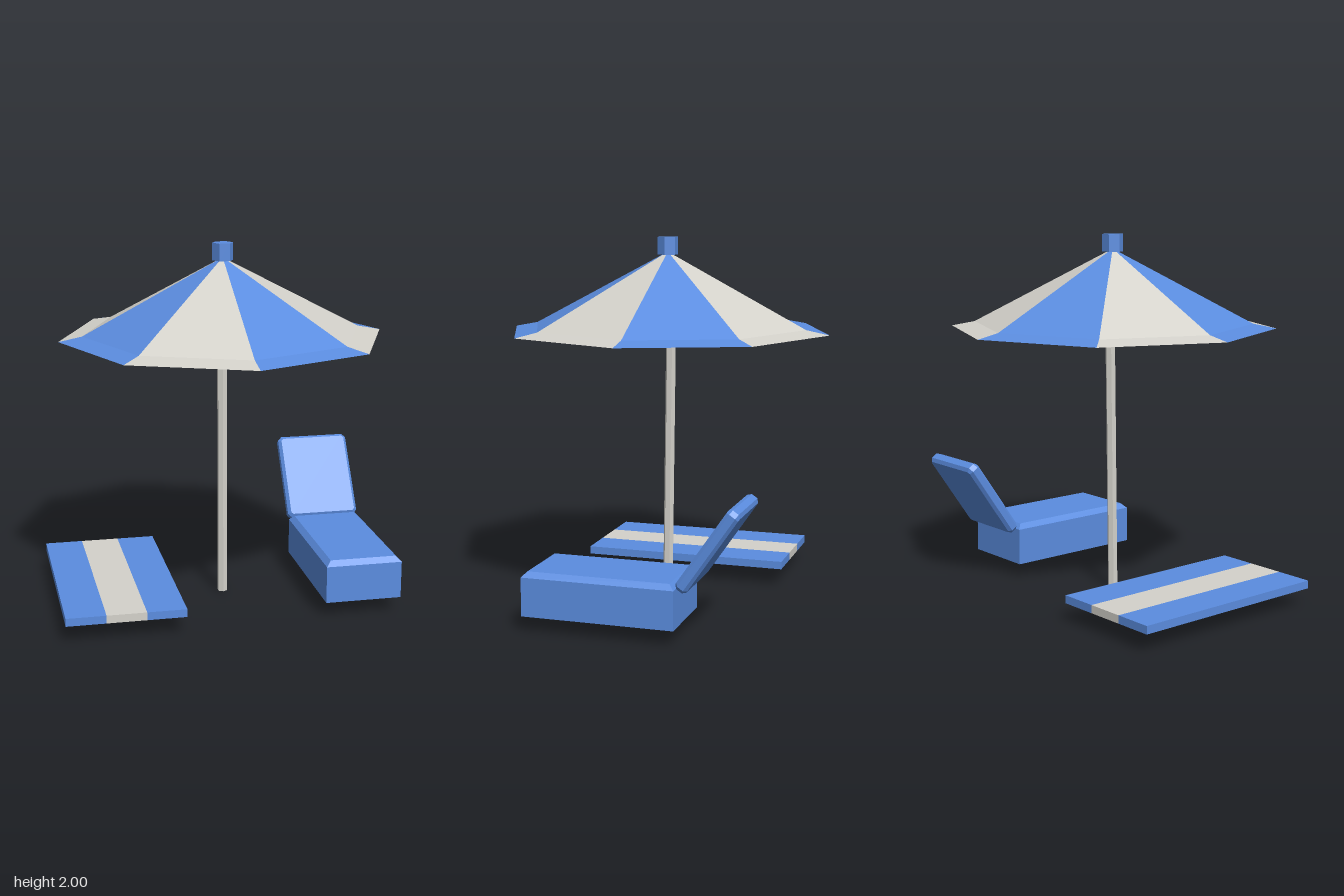
import * as THREE from 'three';

const mat = (name, color) => {
  const m = new THREE.MeshStandardMaterial({ color });
  m.name = name;
  return m;
};

// Gives every face its own normal for a faceted look
const facet = (geometry) => {
  const g = geometry.index ? geometry.toNonIndexed() : geometry;
  g.computeVertexNormals();
  return g;
};

export function createModel() {
  const blue = mat('blue fabric', 0x5b8de0);
  const cream = mat('cream fabric', 0xd4d2cb);

  const model = new THREE.Group();
  model.name = 'beachSet';
  const group = (name, x, y, z) => {
    const g = new THREE.Group();
    g.name = name;
    g.position.set(x, y, z);
    model.add(g);
    return g;
  };
  const add = (parent, name, geometry, material, x = 0, y = 0, z = 0) => {
    const mesh = new THREE.Mesh(facet(geometry), material);
    mesh.name = name;
    mesh.position.set(x, y, z);
    parent.add(mesh);
    return mesh;
  };

  // Parasol: eight alternating panels with a flatter rim, closed underneath
  const parasol = group('parasol', 0.027, 0, 0);
  const profile = [[0.9, 1.49], [0.772, 1.515], [0, 1.92]].map(([r, y]) => new THREE.Vector2(r, y));
  for (let i = 0; i < 8; i++) {
    const panel = new THREE.LatheGeometry(profile, 1, i * Math.PI / 4, Math.PI / 4);
    add(parasol, 'canopyPanel' + (i + 1), panel, i % 2 ? cream : blue);
  }
  add(parasol, 'canopyUnderside', new THREE.CircleGeometry(0.9, 8).rotateX(Math.PI / 2), blue, 0, 1.49, 0);
  add(parasol, 'finial', new THREE.CylinderGeometry(0.058, 0.058, 0.095, 6).rotateY(Math.PI / 2), blue, 0, 1.9525, 0);

  // Slightly leaning hexagonal pole
  const poleGeometry = new THREE.CylinderGeometry(0.028, 0.028, 1.6, 6).translate(0, 0.8, 0);
  add(parasol, 'pole', poleGeometry, cream).rotation.x = -0.0125;

  // Lounger base: box whose top edges are chamfered
  const lounger = group('lounger', 0.7125, 0, 0);
  const w = 0.425, d = 0.82, low = 0.083, high = 0.318, chamfer = 0.028;
  const base = new THREE.BoxGeometry(w, 2, d, 1, 2, 1);
  const p = base.attributes.position;
  for (let i = 0; i < p.count; i++) {
    const level = Math.round(p.getY(i));
    const inset = level === 1 ? chamfer : 0;
    p.setXYZ(
      i,
      p.getX(i) - Math.sign(p.getX(i)) * inset,
      level === -1 ? low : level === 0 ? high - chamfer : high,
      p.getZ(i) - Math.sign(p.getZ(i)) * inset
    );
  }
  add(lounger, 'loungerBase', base, blue, 0, 0, 0.1);

  // Reclined backrest: slab with chamfered edges and clipped corners
  const bevel = 0.017, length = 0.51, thickness = 0.07;
  const hx = w / 2 - bevel, hy = length / 2 - bevel, c = 0.012;
  const outline = new THREE.Shape([
    [hx, -hy + c], [hx, hy - c], [hx - c, hy], [-hx + c, hy],
    [-hx, hy - c], [-hx, -hy + c], [-hx + c, -hy], [hx - c, -hy]
  ].map(([x, y]) => new THREE.Vector2(x, y)));
  const back = new THREE.ExtrudeGeometry(outline, {
    depth: thickness - 2 * bevel, bevelEnabled: true, bevelSegments: 1, bevelSize: bevel, bevelThickness: bevel
  }).translate(0, 0, bevel - thickness / 2);
  add(lounger, 'backrest', back, blue, 0, 0.497, -0.477).rotation.x = -0.602;

  // Beach towel in three lengthwise stripes
  const towel = group('towel', 0, 0.122, 0);
  const edges = [-0.93, -0.715, -0.5, -0.285];
  for (let i = 0; i < 3; i++) {
    const width = edges[i + 1] - edges[i];
    add(towel, 'towelStripe' + (i + 1), new THREE.BoxGeometry(width, 0.044, 1.17),
      i === 1 ? cream : blue, edges[i] + width / 2, 0, 0);
  }

  return model;
}
